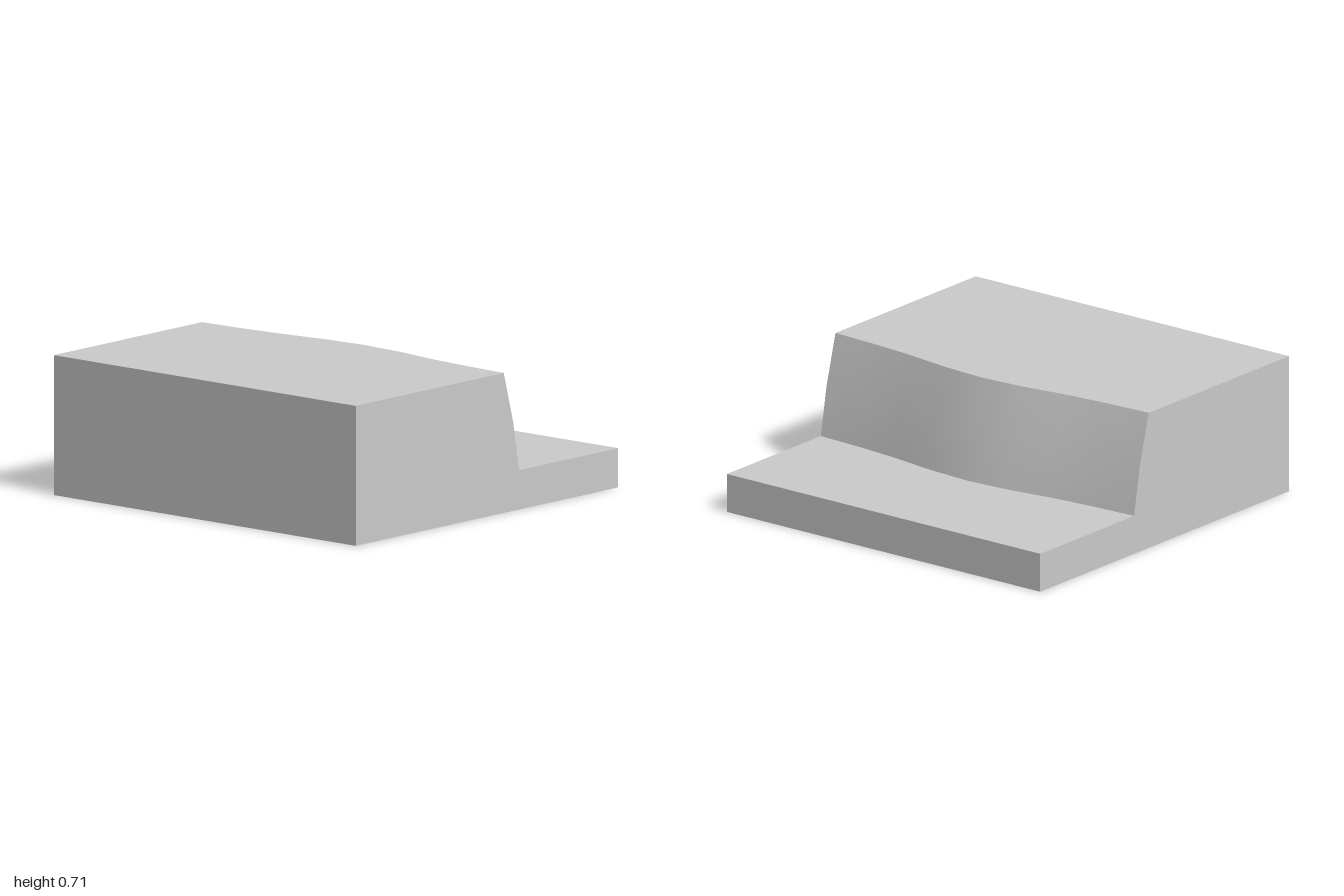
import * as THREE from 'three';
import { toCreasedNormals } from 'three/addons/utils/BufferGeometryUtils.js';

// How far the cliff bulges out, by distance from the middle (0 to 1 in quarters)
const BULGE = [0.089, 0.072, 0.035, 0.013, 0];

export function createModel() {
  const group = new THREE.Group();
  group.name = 'cliffTile';

  // Cross-section: low ground, steep cliff face, raised plateau
  const profile = new THREE.Shape([
    [-1, 0], [1, 0], [1, 0.2], [0.245, 0.2], [0.2, 0.45], [0.128, 0.713], [-1, 0.713],
  ].map(([x, y]) => new THREE.Vector2(x, y)));

  const geometry = new THREE.ExtrudeGeometry(profile, { depth: 2, steps: 8, bevelEnabled: false });
  geometry.translate(0, 0, -1);

  // Push the cliff face outward towards the middle of the tile
  const pos = geometry.attributes.position;
  for (let i = 0; i < pos.count; i++) {
    const x = pos.getX(i);
    if (Math.abs(x) < 0.9) pos.setX(i, x + BULGE[Math.round(Math.abs(pos.getZ(i)) * 4)]);
  }

  const terrain = new THREE.Mesh(
    toCreasedNormals(geometry, Math.PI / 6),
    new THREE.MeshStandardMaterial({ color: 0xcccccc }),
  );
  terrain.name = 'terrainBlock';
  group.add(terrain);
  return group;
}
